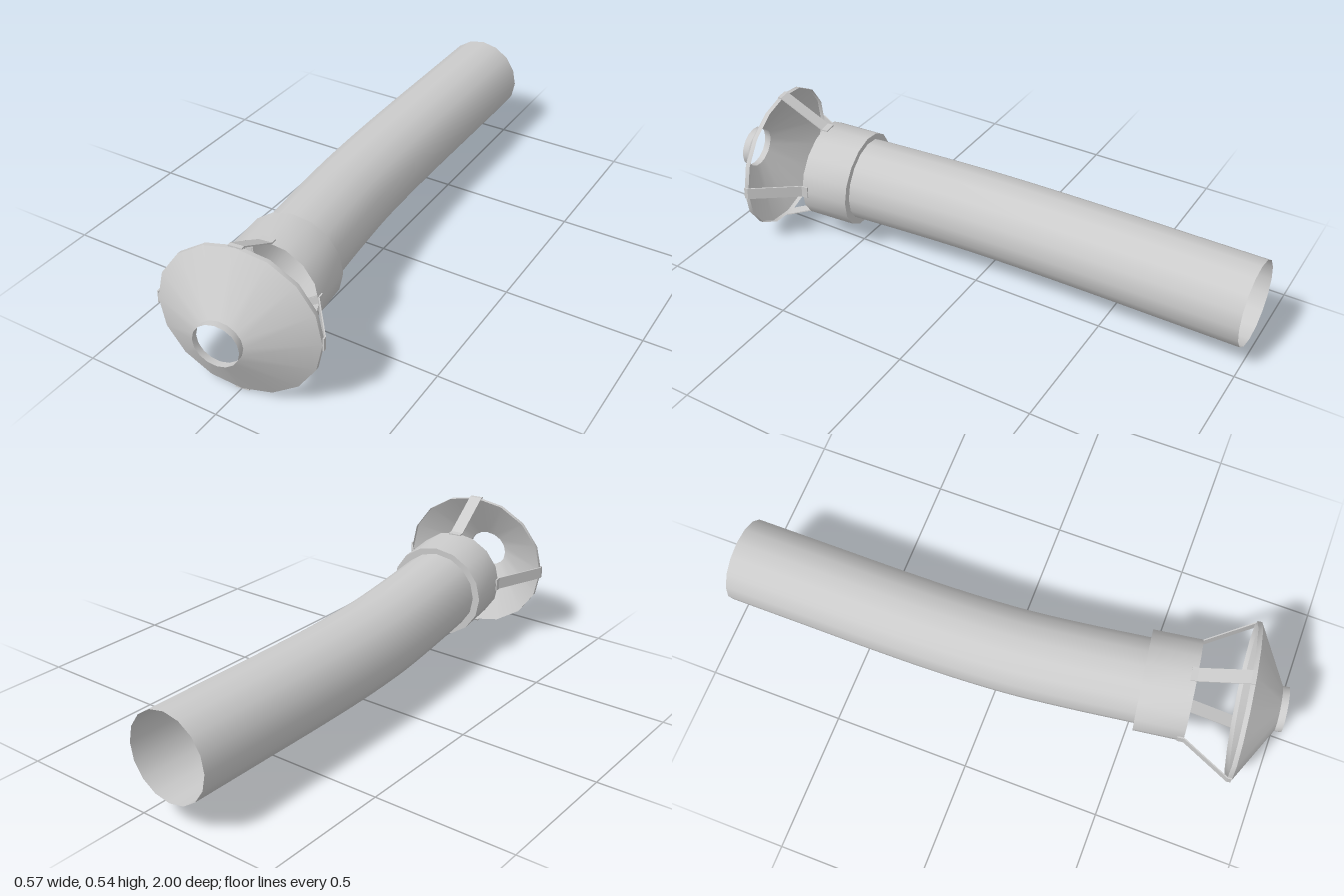
import * as THREE from 'three';
import { toCreasedNormals } from 'three/addons/utils/BufferGeometryUtils.js';

const SIDES = 16;
const material = new THREE.MeshStandardMaterial({ color: 0xcccccc, side: THREE.DoubleSide });

function addMesh(parent, name, geometry) {
  const mesh = new THREE.Mesh(geometry, material);
  mesh.name = name;
  parent.add(mesh);
  return mesh;
}

// Thin shell turned around the z axis from [radius, z] pairs, slightly flattened in y
function shell(profile, flatten) {
  const points = profile.map(([r, z]) => new THREE.Vector2(r, z));
  const geometry = new THREE.LatheGeometry(points, SIDES).rotateX(Math.PI / 2);
  return toCreasedNormals(geometry.scale(1, flatten, 1), 0.6);
}

// Bent flat strap: starts on the collar and runs out to the cap rim
function strap(collarR, rimR, width) {
  const t = 0.005;
  const line = [[collarR, -0.19], [collarR, -0.167], [rimR, 0.0], [rimR, 0.014]];
  const outer = line.map(([r, z]) => new THREE.Vector2(r + t, z));
  const inner = line.map(([r, z]) => new THREE.Vector2(r, z)).reverse();
  const geometry = new THREE.ExtrudeGeometry(new THREE.Shape([...outer, ...inner]), {
    depth: width, bevelEnabled: false,
  });
  return geometry.translate(0, 0, -width / 2).rotateX(Math.PI / 2);
}

export function createModel() {
  const model = new THREE.Group();
  model.name = 'cappedPipe';

  // Open pipe, straight at the back and bending gently towards the collar
  const path = new THREE.CatmullRomCurve3([
    [-0.116, 0.232, -1], [-0.116, 0.232, -0.7], [-0.116, 0.232, -0.42],
    [-0.112, 0.233, -0.18], [-0.1, 0.237, 0.05], [-0.078, 0.244, 0.26],
    [-0.047, 0.253, 0.5],
  ].map((p) => new THREE.Vector3(...p)));
  addMesh(model, 'pipe', new THREE.TubeGeometry(path, 24, 0.153, SIDES, false));

  // Head assembly, centred on the back of the cap rim and aimed along the bent axis
  const head = new THREE.Group();
  head.name = 'head';
  head.position.set(-0.001, 0.268, 0.84);
  head.lookAt(head.position.clone().add(new THREE.Vector3(0.13, 0.047, 1)));
  model.add(head);

  // Collar with a step at the back
  addMesh(head, 'collar', shell([[0.15, -0.345], [0.181, -0.345], [0.181, -0.168]], 0.975));

  // Conical cap with a rim and a short open nozzle
  addMesh(head, 'cap', shell(
    [[0.283, 0], [0.283, 0.016], [0.08, 0.128], [0.08, 0.152]], 0.933));

  // Four straps holding the cap
  for (let i = 0; i < 4; i++) {
    const onSide = i % 2 === 0;
    const geometry = onSide ? strap(0.179, 0.282, 0.045) : strap(0.175, 0.263, 0.048);
    addMesh(head, 'strap', geometry).rotation.z = (i * Math.PI) / 2;
  }

  return model;
}
